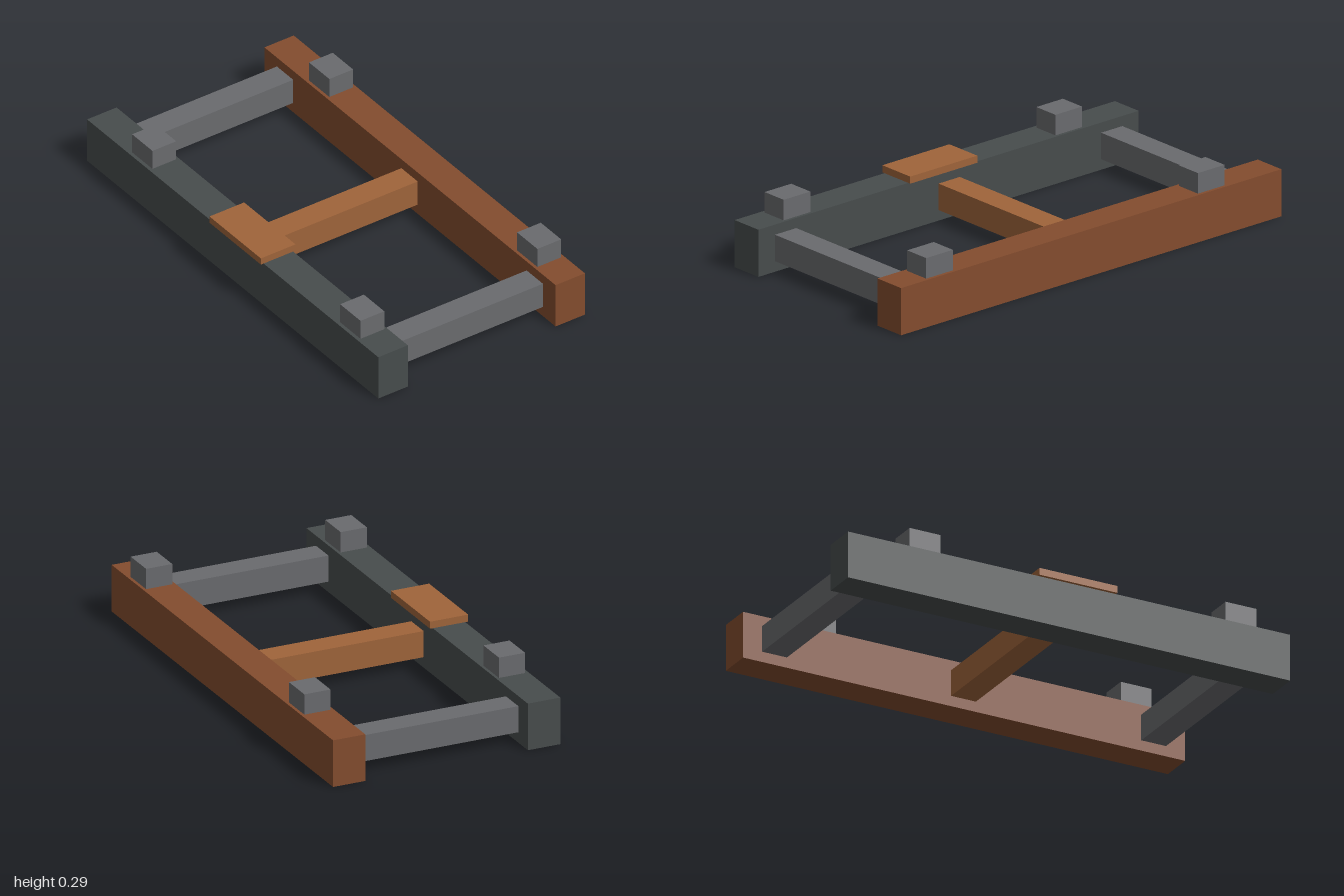
import * as THREE from 'three';

const material = (name, color) => {
  const m = new THREE.MeshStandardMaterial({ color });
  m.name = name;
  return m;
};

export function createModel() {
  const group = new THREE.Group();
  const brown = material('brown', 0x834c2e);
  const orange = material('copper', 0x9f643a);
  const grey = material('grey', 0x6a6b6e);
  const dark = material('dark grey', 0x474c4c);

  // Box given by its extent along each axis
  const box = (name, mat, [x0, x1], [y0, y1], [z0, z1]) => {
    const mesh = new THREE.Mesh(new THREE.BoxGeometry(x1 - x0, y1 - y0, z1 - z0), mat);
    mesh.position.set((x0 + x1) / 2, (y0 + y1) / 2, (z0 + z1) / 2);
    mesh.name = name;
    group.add(mesh);
  };

  // Long side rails
  box('rightRail', dark, [-0.495, -0.352], [0, 0.2], [-1, 1]);
  box('leftRail', brown, [0.364, 0.506], [0, 0.2], [-1, 1]);

  // Cross bars joining the rails
  for (const [name, z, mat] of [['frontBar', 0.857, grey], ['middleBar', -0.003, orange], ['backBar', -0.858, grey]]) {
    box(name, mat, [-0.352, 0.364], [0.045, 0.157], [z - 0.056, z + 0.056]);
  }

  // Posts set through the rails, their heads standing proud
  for (const [side, x] of [['right', -0.422], ['left', 0.435]]) {
    for (const [end, z] of [['Front', 0.786], ['Back', -0.643]]) {
      box(side + end + 'Post', grey, [x - 0.0575, x + 0.0575], [0.002, 0.287], [z - 0.07, z + 0.07]);
    }
  }

  // Flat plate on the dark rail
  box('plate', orange, [-0.508, -0.34], [0.2, 0.23], [-0.141, 0.212]);

  return group;
}
